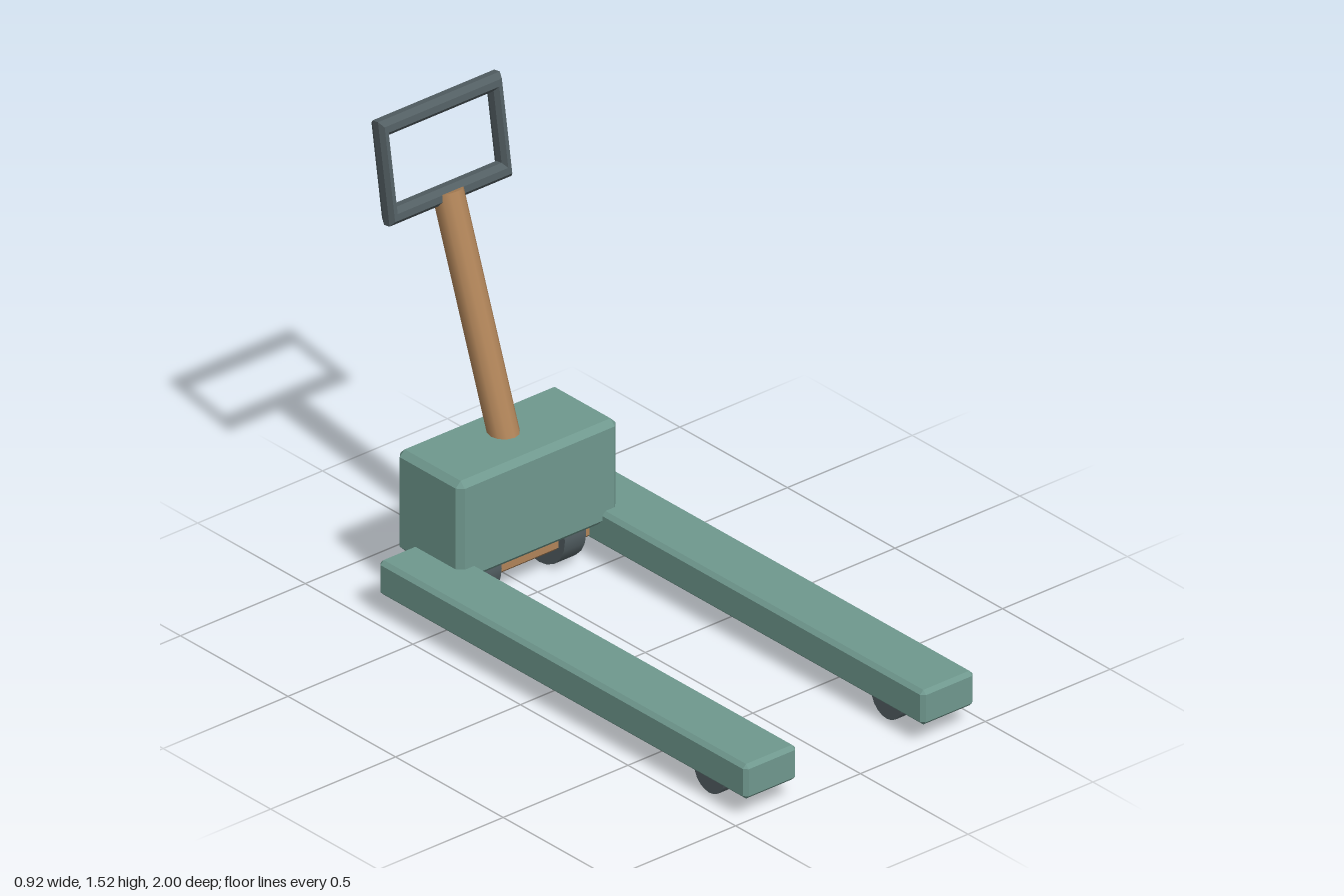
import * as THREE from 'three';
import { ConvexGeometry } from 'three/addons/geometries/ConvexGeometry.js';

const paint = (color, extra = {}) => new THREE.MeshStandardMaterial({ color, ...extra });
const green = paint(0x6f988e);
const orange = paint(0xb08459);
const dark = paint(0x525e62);
const darkFlat = paint(0x525e62, { flatShading: true });

// Box given by its limits, with every edge cut by a chamfer c
function chamferBox(min, max, c) {
  const points = [];
  for (const x of [0, 1]) for (const y of [0, 1]) for (const z of [0, 1]) {
    const side = [x, y, z];
    for (let full = 0; full < 3; full++) {
      points.push(new THREE.Vector3(...side.map((s, i) => {
        const inset = i === full ? 0 : c;
        return s ? max[i] - inset : min[i] + inset;
      })));
    }
  }
  return new ConvexGeometry(points);
}

// Rectangular ring of mitred octagonal bars, standing in the xy plane
function frameGeometry(halfW, halfH, rx, ry, rz, sides = 8) {
  const corners = [[1, 1], [-1, 1], [-1, -1], [1, -1]];
  const positions = [], index = [];
  const k = 1 / Math.cos(Math.PI / sides);
  for (const [sx, sy] of corners) {
    for (let j = 0; j < sides; j++) {
      const a = ((j + 0.5) / sides) * Math.PI * 2;
      const out = Math.cos(a) * k;
      positions.push(sx * (halfW + rx * out), sy * (halfH + ry * out), rz * Math.sin(a) * k);
    }
  }
  for (let i = 0; i < 4; i++) {
    for (let j = 0; j < sides; j++) {
      const n = (i + 1) % 4, m = (j + 1) % sides;
      const a = i * sides + j, b = n * sides + j, c = n * sides + m, d = i * sides + m;
      index.push(a, b, c, a, c, d);
    }
  }
  const geometry = new THREE.BufferGeometry();
  geometry.setAttribute('position', new THREE.Float32BufferAttribute(positions, 3));
  geometry.setIndex(index);
  const flat = geometry.toNonIndexed();
  flat.computeVertexNormals();
  return flat;
}

export function createModel() {
  const group = new THREE.Group();
  const add = (name, geometry, material) => {
    const mesh = new THREE.Mesh(geometry, material);
    mesh.name = name;
    group.add(mesh);
    return mesh;
  };
  const wheel = (name, radius, width, x, z) => {
    const geometry = new THREE.CylinderGeometry(radius, radius, width, 20).rotateZ(Math.PI / 2);
    add(name, geometry, dark).position.set(x, radius, z);
  };

  // Housing and the axle block beneath it
  add('housing', chamferBox([-0.32, 0.14, -0.79], [0.32, 0.49, -0.49], 0.02), green);
  add('axleBlock', chamferBox([-0.265, 0.075, -0.73], [0.265, 0.18, -0.55], 0.012), orange);

  // Forks, load rollers and steering wheels on both sides
  for (const [side, s] of [['left', 1], ['right', -1]]) {
    const inner = s * 0.25, outer = s * 0.46;
    add(side + 'Fork', chamferBox(
      [Math.min(inner, outer), 0.07, -0.71], [Math.max(inner, outer), 0.19, 1], 0.013), green);
    wheel(side + 'LoadRoller', 0.07, 0.14, s * 0.355, 0.79);
    wheel(side + 'SteeringWheel', 0.12, 0.085, s * 0.169, -0.64);
  }

  // Leaning tiller pole
  const foot = new THREE.Vector3(0, 0.4, -0.628);
  const top = new THREE.Vector3(0, 1.218, -0.918);
  const pole = add('tillerPole', new THREE.CylinderGeometry(0.05, 0.05, foot.distanceTo(top), 12), orange);
  pole.position.lerpVectors(foot, top, 0.5);
  pole.quaternion.setFromUnitVectors(new THREE.Vector3(0, 1, 0), top.clone().sub(foot).normalize());

  // Handle frame
  const handle = add('handleFrame', frameGeometry(0.228, 0.145, 0.016, 0.027, 0.031), darkFlat);
  handle.position.set(0, 1.353, -0.945);
  handle.rotation.x = -THREE.MathUtils.degToRad(9);

  return group;
}
